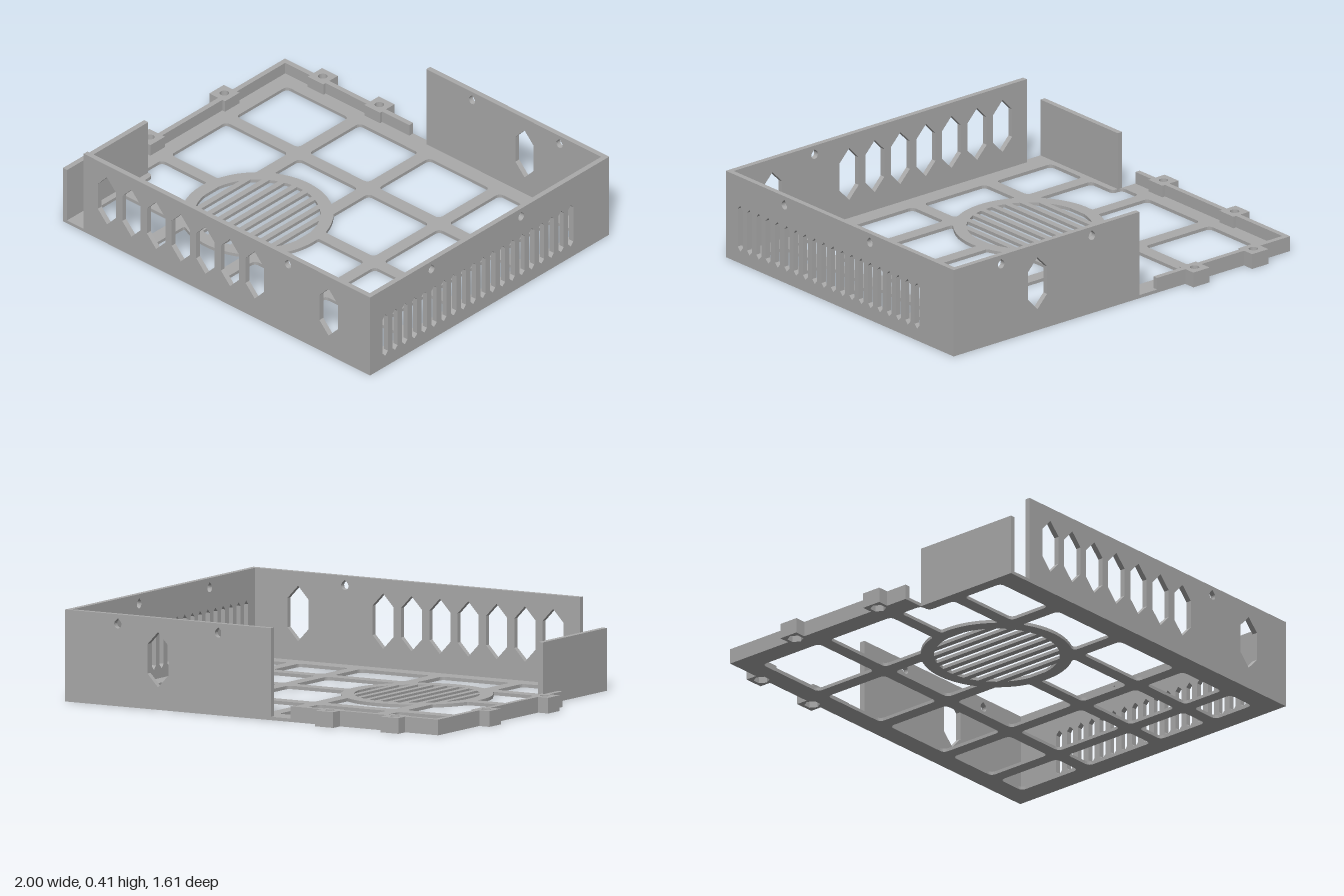
import * as THREE from 'three';

const FLOOR = 0.015, LOW = 0.07, TALL = 0.41, WALL = 0.025;
const BACK = -0.755, FRONT = 0.8, LEFT = -0.947, INNER = -0.845, STEP = 0.272;
const FAN = { x: -0.24, z: 0.19, ring: 0.336, open: 0.278 };
const TAB = 0.047;
const backTabs = [-0.727, -0.387], sideTabs = [-0.368, 0.117];
const backTabZ = -0.763, sideTabX = -0.953;

const v = (x, y) => new THREE.Vector2(x, y);
const poly = (pts) => pts.map(([x, y]) => v(x, y));
const rect = (x0, y0, x1, y1) => poly([[x0, y0], [x1, y0], [x1, y1], [x0, y1]]);

function extrude(outline, holes, depth) {
  const shape = new THREE.Shape(outline);
  shape.holes = holes.map((h) => new THREE.Path(h));
  return new THREE.ExtrudeGeometry(shape, { depth, bevelEnabled: false });
}
// plate drawn in (x, z), occupying y0..y1
const plate = (outline, holes, y0, y1) =>
  extrude(outline, holes, y1 - y0).rotateX(Math.PI / 2).translate(0, y1, 0);

// polygon with rounded corners, sampled densely along its edges
function rounded(corners, r) {
  const out = [], n = corners.length;
  for (let i = 0; i < n; i++) {
    const p = corners[i], a = corners[(i + n - 1) % n], b = corners[(i + 1) % n], c = corners[(i + 2) % n];
    const s = p.clone().add(a.clone().sub(p).setLength(r));
    const e = p.clone().add(b.clone().sub(p).setLength(r));
    out.push(...new THREE.QuadraticBezierCurve(s, p, e).getPoints(5));
    const next = b.clone().add(p.clone().sub(b).setLength(r));
    if (c) for (let k = 1; k < 40; k++) out.push(e.clone().lerp(next, k / 40));
  }
  return out;
}

// remove the part of a floor opening that lies inside the fan ring
function clipByRing(pts) {
  const centre = v(FAN.x, FAN.z);
  const inside = pts.map((p) => p.distanceTo(centre) < FAN.ring);
  if (!inside.includes(true)) return pts;
  if (!inside.includes(false)) return null;
  const n = pts.length;
  const first = inside.findIndex((f, i) => !f && inside[(i + n - 1) % n]);
  const keep = [];
  for (let i = 0; i < n; i++) {
    const k = (first + i) % n;
    if (!inside[k]) keep.push(pts[k]);
  }
  const angle = (p) => Math.atan2(p.y - FAN.z, p.x - FAN.x);
  const a0 = angle(keep[keep.length - 1]);
  let d = angle(keep[0]) - a0;
  if (d > Math.PI) d -= 2 * Math.PI;
  if (d < -Math.PI) d += 2 * Math.PI;
  for (let i = 1; i < 24; i++) {
    const a = a0 + (d * i) / 24;
    keep.push(v(FAN.x + FAN.ring * Math.cos(a), FAN.z + FAN.ring * Math.sin(a)));
  }
  return keep;
}

// upright opening with pointed ends
const pointed = (x, y0, y1, w, tip) => poly([
  [x, y0], [x + w / 2, y0 + tip], [x + w / 2, y1 - tip],
  [x, y1], [x - w / 2, y1 - tip], [x - w / 2, y0 + tip]]);
const hexVent = (x) => pointed(x, 0.1, 0.347, 0.11, 0.058);

// screw hole with a pointed top
function teardrop(x, y = 0.366, r = 0.019) {
  const pts = [v(x, y + r * 1.4)];
  for (let i = 0; i <= 14; i++) {
    const a = Math.PI * (0.75 + (1.5 * i) / 14);
    pts.push(v(x + r * Math.cos(a), y + r * Math.sin(a)));
  }
  return pts;
}

function disc(x, y, r, n) {
  return Array.from({ length: n }, (_, i) =>
    v(x + r * Math.cos((2 * Math.PI * i) / n), y + r * Math.sin((2 * Math.PI * i) / n)));
}

// grid of floor openings, including the stepped one beside the left-out corner
function floorHoles() {
  const cols = [[INNER, -0.472], [-0.407, -0.053], [0.01, 0.374], [0.433, 0.693], [0.752, 0.897]];
  const rows = [[-0.656, -0.326], [-0.262, 0.098], [0.157, 0.417], [0.478, 0.692]];
  const holes = [];
  cols.forEach(([x0, x1], c) => rows.forEach(([z0, z1], r) => {
    let corners = rect(c === 0 && r === 3 ? -0.79 : x0, z0, x1, z1);
    if (c === 0 && r === 2) {
      corners = poly([[x0, z0], [x1, z0], [x1, z1], [-0.79, z1], [-0.79, STEP], [x0, STEP]]);
    }
    const hole = clipByRing(rounded(corners, 0.026));
    if (hole) holes.push(hole);
  }));
  // fan grille slots
  for (let k = -4; k <= 4; k++) {
    const pts = [], lo = k * 0.064 - 0.018;
    for (const side of [-1, 1]) {
      for (let i = 0; i <= 6; i++) {
        const x = lo + 0.036 * (side < 0 ? i : 6 - i) / 6;
        pts.push(v(FAN.x + x, FAN.z + side * Math.sqrt(FAN.open ** 2 - x * x)));
      }
    }
    holes.push(pts);
  }
  return holes;
}

// floor edge, notched where the screw tabs sit
function floorOutline() {
  const pts = [[LEFT, BACK]];
  for (const x of backTabs) {
    const z = backTabZ + TAB;
    pts.push([x - TAB, BACK], [x - TAB, z], [x + TAB, z], [x + TAB, BACK]);
  }
  pts.push([1, BACK], [1, FRONT], [INNER, FRONT], [INNER, STEP], [LEFT, STEP]);
  for (const z of [...sideTabs].reverse()) {
    const x = sideTabX + TAB;
    pts.push([LEFT, z + TAB], [x, z + TAB], [x, z - TAB], [LEFT, z - TAB]);
  }
  return poly(pts);
}

export function createModel() {
  const group = new THREE.Group();
  const grey = new THREE.MeshStandardMaterial({ color: 0xaaaaaa });
  grey.name = 'plain grey';
  const add = (name, geometry) => {
    const mesh = new THREE.Mesh(geometry, grey);
    mesh.name = name;
    group.add(mesh);
  };
  const block = (name, x0, z0, x1, z1, top) => add(name, plate(rect(x0, z0, x1, z1), [], FLOOR, top));

  add('floorGrid', plate(floorOutline(), floorHoles(), 0, FLOOR));

  // tall walls
  const frontVents = [-0.58, -0.433, -0.285, -0.137, 0.011, 0.159, 0.307, 0.751].map(hexVent);
  add('frontWall', extrude(rect(-0.72, FLOOR, 1, TALL), [...frontVents, teardrop(0.507)], WALL)
    .translate(0, 0, FRONT - WALL));
  add('backWall', extrude(rect(-0.075, FLOOR, 1, TALL), [hexVent(0.515), teardrop(0.2), teardrop(0.725)], WALL)
    .translate(0, 0, BACK));
  const slots = Array.from({ length: 20 }, (_, i) => pointed(0.701 - i * 0.0635, 0.057, 0.273, 0.034, 0.018));
  add('sideWall', extrude(rect(BACK + WALL, FLOOR, FRONT - WALL, TALL),
    [...slots, teardrop(0.4), teardrop(-0.183)], WALL).rotateY(-Math.PI / 2).translate(1, 0, 0));
  block('cornerWall', INNER, STEP, INNER + WALL, FRONT, 0.28);

  // low rims, broken by the tabs
  const backStops = [LEFT, ...backTabs.flatMap((x) => [x - TAB, x + TAB]), -0.177];
  for (let i = 0; i < backStops.length; i += 2) {
    block('backRim', backStops[i], BACK, backStops[i + 1], BACK + WALL, LOW);
  }
  const sideStops = [BACK + WALL, ...sideTabs.flatMap((z) => [z - TAB, z + TAB]), STEP];
  for (let i = 0; i < sideStops.length; i += 2) {
    block('sideRim', LEFT, sideStops[i], LEFT + WALL, sideStops[i + 1], LOW);
  }

  // screw tabs: round hole above, six-sided nut pocket below
  const tabs = [...backTabs.map((x) => [x, backTabZ]), ...sideTabs.map((z) => [sideTabX, z])];
  for (const [x, z] of tabs) {
    const edge = rect(x - TAB, z - TAB, x + TAB, z + TAB);
    add('screwTab', plate(edge, [disc(x, z, 0.021, 20)], 0.03, LOW));
    add('nutPocket', plate(edge, [disc(x, z, 0.036, 6)], 0, 0.03));
  }
  return group;
}
